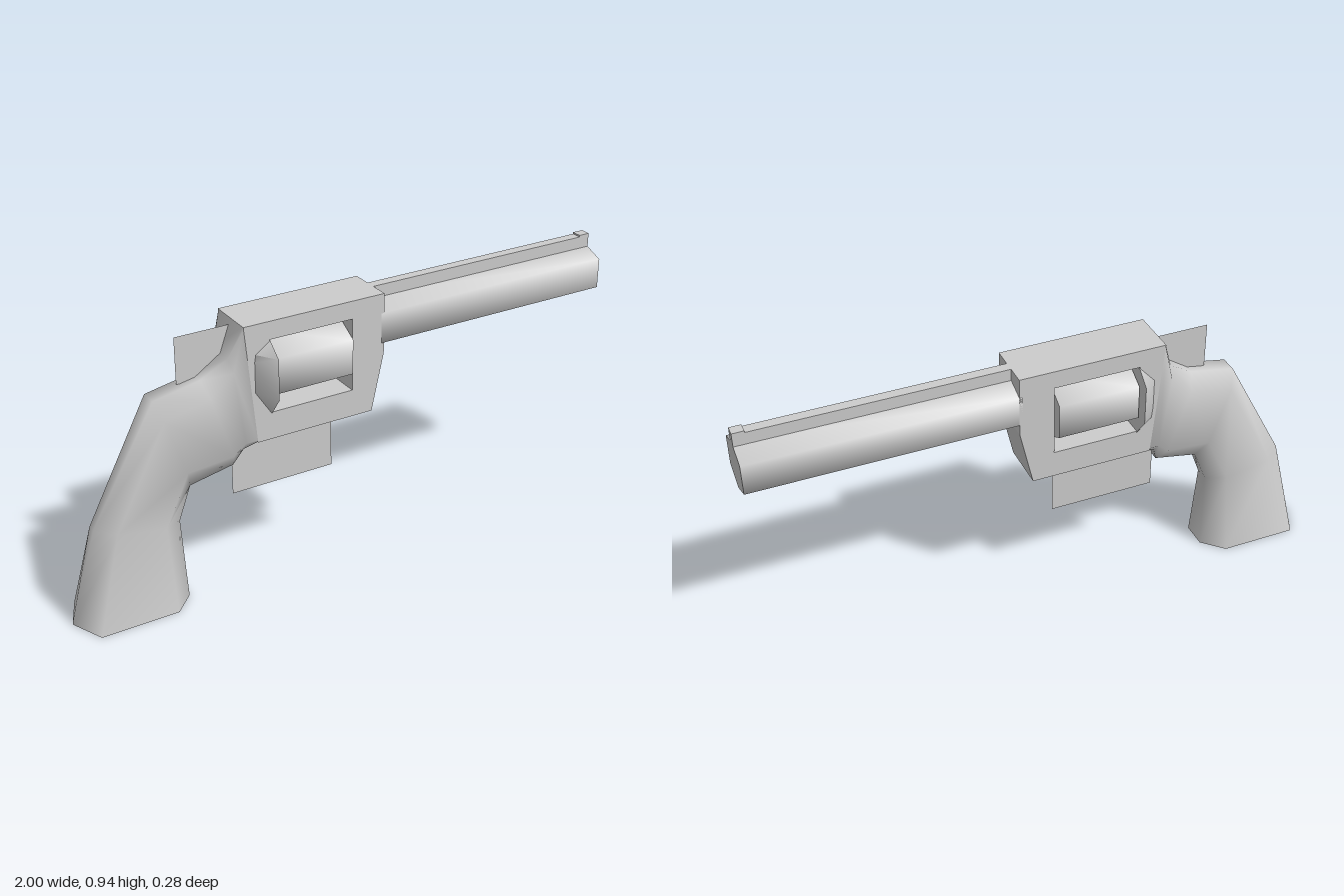
import * as THREE from 'three';
import { toCreasedNormals } from 'three/addons/utils/BufferGeometryUtils.js';

const grey = new THREE.MeshStandardMaterial({ color: 0xcccccc });
const greyThin = new THREE.MeshStandardMaterial({ color: 0xcccccc, side: THREE.DoubleSide });

// Skin a list of closed rings ([x, y, z] points) and cap both ends
function loft(rings, crease) {
  const n = rings[0].length, index = [];
  for (let r = 0; r < rings.length - 1; r++) {
    for (let i = 0; i < n; i++) {
      const a = r * n + i, b = r * n + (i + 1) % n;
      index.push(a, b, b + n, a, b + n, a + n);
    }
  }
  const last = (rings.length - 1) * n;
  for (let i = 1; i < n - 1; i++) {
    index.push(0, i + 1, i, last, last + i, last + i + 1);
  }
  const g = new THREE.BufferGeometry();
  g.setAttribute('position', new THREE.Float32BufferAttribute(rings.flat(2), 3));
  g.setIndex(index);
  return toCreasedNormals(g, crease);
}

// Mirror a half ring across z = 0
const mirrored = half => [...half, ...half.map(([x, y, z]) => [x, y, -z]).reverse()];

// Eight-sided grip section between a back point and a front point
function gripRing([bx, by, fx, fy, w, backW, frontW, e1, e2]) {
  const at = (t, z) => [bx + (fx - bx) * t, by + (fy - by) * t, z];
  return mirrored([at(0, backW), at(e1, w), at(1 - e2, w), at(1, frontW)]);
}

const polygon = pts => new THREE.Shape(pts.map(([x, y]) => new THREE.Vector2(x, y)));

export function createModel() {
  const model = new THREE.Group();
  const add = (name, geometry, x = 0, y = 0, z = 0, material = grey) => {
    const mesh = new THREE.Mesh(geometry, material);
    mesh.name = name;
    mesh.position.set(x, y, z);
    model.add(mesh);
    return mesh;
  };

  // Grip: flared butt, narrow neck, widening into the frame
  const gripSections = [
    [-1.00, 0.00, -0.61, 0.00, 0.115, 0.004, 0.045, 0.13, 0.18],
    [-0.91, 0.33, -0.62, 0.28, 0.066, 0.015, 0.025, 0.20, 0.22],
    [-0.69, 0.73, -0.575, 0.395, 0.066, 0.03, 0.02, 0.18, 0.22],
    [-0.53, 0.76, -0.42, 0.425, 0.071, 0.03, 0.02, 0.16, 0.18],
    [-0.44, 0.82, -0.395, 0.49, 0.078, 0.05, 0.05, 0.12, 0.10],
    [-0.40, 0.93, -0.36, 0.52, 0.085, 0.08, 0.08, 0.02, 0.02],
  ];
  add('grip', loft(gripSections.map(gripRing), 1.3));

  // Frame with the window for the cylinder
  const frame = polygon([[-0.40, 0.93], [-0.36, 0.52], [0.065, 0.52], [0.11, 0.72], [0.11, 0.93]]);
  frame.holes.push(polygon([[-0.31, 0.615], [-0.31, 0.868], [-0.01, 0.868], [-0.01, 0.615]]));
  add('frame', new THREE.ExtrudeGeometry(frame, { depth: 0.17, bevelEnabled: false }), 0, 0, -0.085);

  // Flared shield behind the cylinder
  const shieldBack = [[0.83, 0.07], [0.80, 0.075], [0.70, 0.075], [0.65, 0.07]];
  const shieldFront = [[0.865, 0.085], [0.82, 0.138], [0.68, 0.138], [0.61, 0.085]];
  add('recoilShield', loft([
    mirrored(shieldBack.map(([y, z]) => [-0.375, y, z])),
    mirrored(shieldFront.map(([y, z]) => [-0.308, y, z])),
  ], 0.9));

  // Six-sided cylinder, point up, on its pin
  const drum = toCreasedNormals(new THREE.CylinderGeometry(0.121, 0.121, 0.282, 6), 1.2);
  drum.rotateZ(Math.PI / 2);
  drum.rotateX(Math.PI / 2);
  // turn so that one corner points straight up
  drum.computeBoundingBox();
  if (drum.boundingBox.max.y < 0.12) drum.rotateX(Math.PI / 6);
  add('cylinder', drum, -0.16, 0.745, 0);
  const pin = new THREE.CylinderGeometry(0.02, 0.02, 0.31, 6);
  pin.rotateZ(Math.PI / 2);
  add('cylinderPin', pin, -0.16, 0.745, 0);

  // Barrel: stretched hexagon with a sight rib on top
  const barrelHalf = [[0.895, 0], [0.862, 0.085], [0.757, 0.085], [0.722, 0]];
  const barrelRing = x => [
    ...barrelHalf.map(([y, z]) => [x, y, z]),
    ...barrelHalf.slice(1, 3).reverse().map(([y, z]) => [x, y, -z]),
  ];
  add('barrel', loft([barrelRing(0.10), barrelRing(1)], 1.3));
  add('barrelRib', new THREE.BoxGeometry(0.89, 0.055, 0.036), 0.555, 0.9025, 0);
  add('frontSight', new THREE.BoxGeometry(0.04, 0.05, 0.036), 0.98, 0.911, 0);

  // Thin upright plates
  add('hammer', new THREE.PlaneGeometry(0.20, 0.16), -0.495, 0.83, 0, greyThin);
  add('triggerGuard', new THREE.PlaneGeometry(0.375, 0.225), -0.2275, 0.4175, 0, greyThin);

  return model;
}
